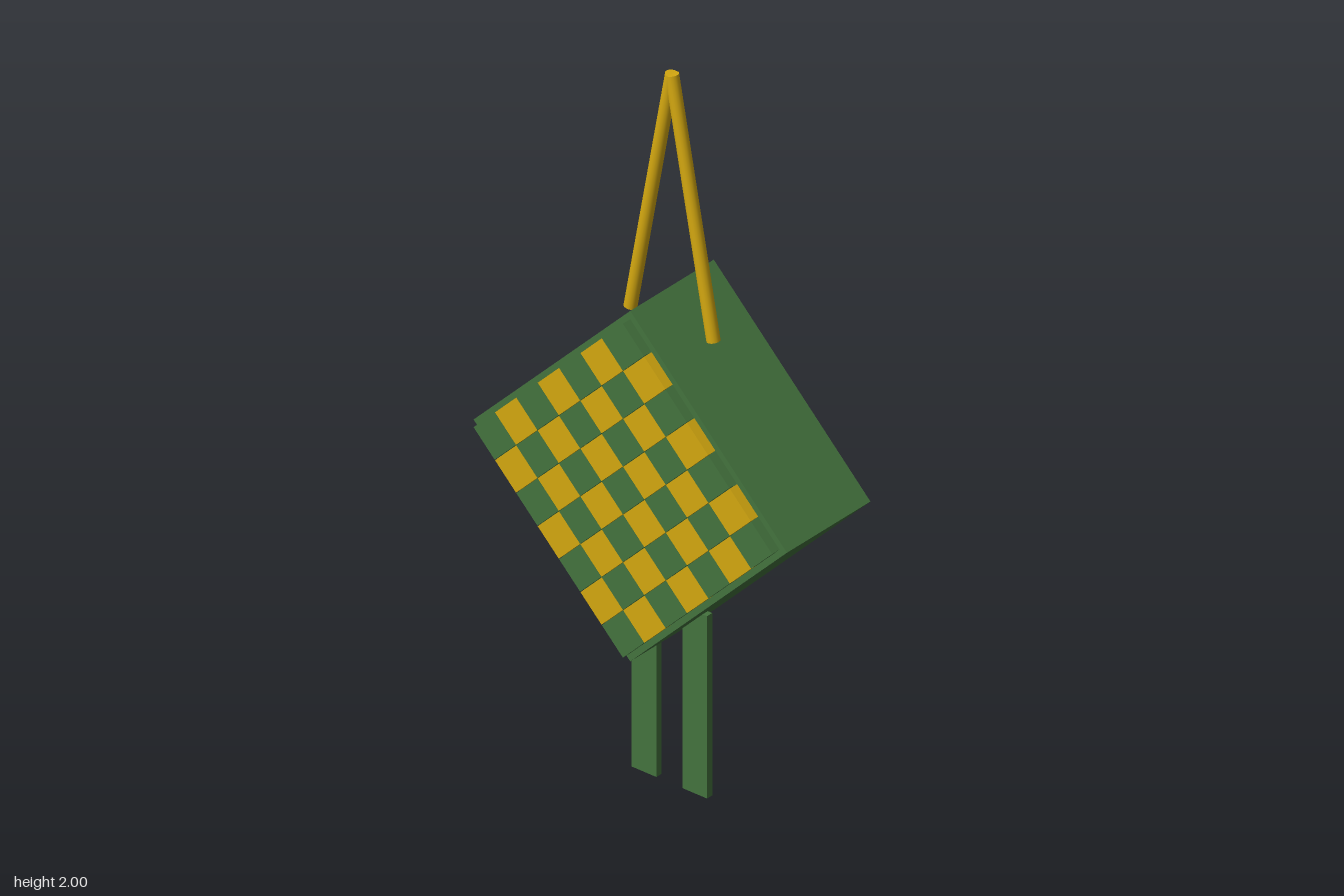
import * as THREE from 'three';

export function createModel() {
  const green = new THREE.MeshStandardMaterial({ color: 0x44733e });
  green.name = 'leaf green';
  const gold = new THREE.MeshStandardMaterial({ color: 0xd4a810 });
  gold.name = 'gold';

  const model = new THREE.Group();
  model.name = 'checkeredDiamond';
  const midZ = -0.0145;

  function add(parent, name, geometry, material, x, y, z) {
    const mesh = new THREE.Mesh(geometry, material);
    mesh.name = name;
    mesh.position.set(x, y, z);
    parent.add(mesh);
    return mesh;
  }

  // Body and checker tiles share one frame, turned onto a corner
  const diamond = new THREE.Group();
  diamond.name = 'diamond';
  diamond.position.y = 0.905;
  diamond.rotation.z = Math.PI / 4;
  model.add(diamond);
  add(diamond, 'body', new THREE.BoxGeometry(0.7, 0.7, 0.317), green, 0, 0, midZ);

  // Seven by seven raised tiles, green in the corners
  const pitch = 0.0955;
  const tile = new THREE.BoxGeometry(0.094, 0.094, 0.028);
  for (let i = 0; i < 7; i++) {
    for (let j = 0; j < 7; j++) {
      const odd = (i + j) % 2 === 1;
      add(diamond, odd ? 'goldTile' : 'greenTile', tile, odd ? gold : green,
        (i - 3) * pitch, (j - 3) * pitch, 0.158);
    }
  }

  // Flat legs and the two rods that meet above the body
  const leg = new THREE.BoxGeometry(0.078, 0.515, 0.02);
  const foot = new THREE.Vector3(0.131, 1.293, midZ);
  const apex = new THREE.Vector3(0, 1.997, midZ);
  const rod = new THREE.CylinderGeometry(0.0175, 0.0175, foot.distanceTo(apex), 16);
  for (const side of [-1, 1]) {
    const word = side > 0 ? 'left' : 'right';
    add(model, word + 'Leg', leg, green, side * 0.08, 0.2575, midZ);
    const mesh = add(model, word + 'Rod', rod, gold,
      side * foot.x / 2, (foot.y + apex.y) / 2, midZ);
    mesh.rotation.z = side * Math.atan2(foot.x, apex.y - foot.y);
  }
  return model;
}
